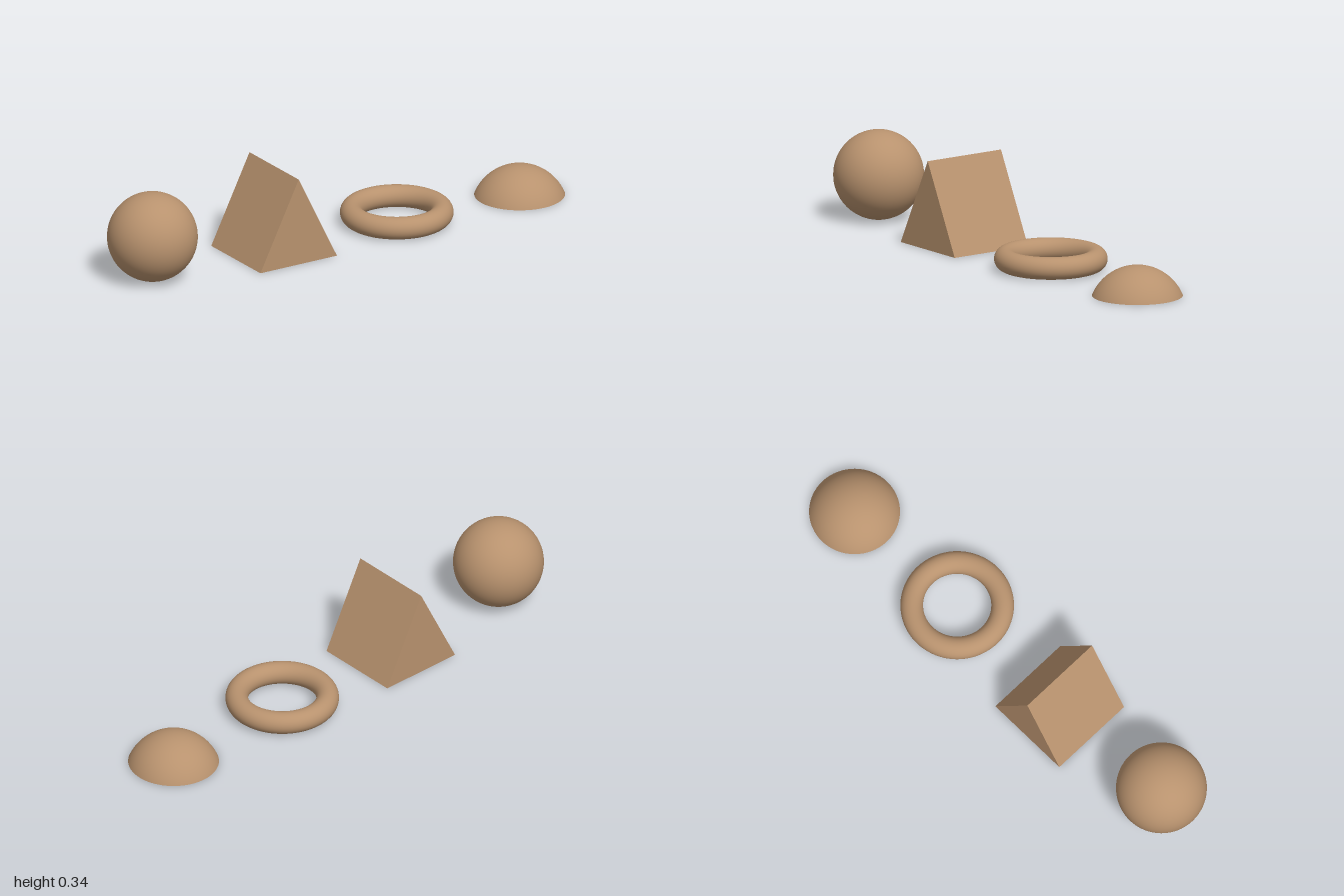
import * as THREE from 'three';

const R = 0.1724; // shared radius of the solids

export function createModel() {
  const group = new THREE.Group();
  const tan = new THREE.MeshStandardMaterial({ color: 0xb8926e });
  tan.name = 'tan';

  const add = (name, geometry, x, y = 0, parent = group) => {
    const mesh = new THREE.Mesh(geometry, tan);
    mesh.name = name;
    mesh.position.set(x, y, 0);
    parent.add(mesh);
    return mesh;
  };

  // Ball
  add('sphere', new THREE.SphereGeometry(R, 64, 40), -1 + R, R);

  // Triangular prism, extruded along z
  const triangle = new THREE.Shape([
    new THREE.Vector2(-R, 0),
    new THREE.Vector2(R, 0),
    new THREE.Vector2(0, 2 * R),
  ]);
  const prism = new THREE.ExtrudeGeometry(triangle, { depth: 2 * R, bevelEnabled: false });
  prism.translate(0, 0, -R);
  add('prism', prism, -0.279);

  // Ring lying flat
  const tube = R / 4;
  const ring = new THREE.TorusGeometry(R, tube, 32, 80);
  ring.rotateX(Math.PI / 2);
  add('ring', ring, 0.274, tube);

  // Dome: a spherical cap closed by a flat disc underneath
  const height = 0.115;
  const capRadius = (R * R + height * height) / (2 * height);
  const capAngle = Math.asin(R / capRadius);
  const dome = new THREE.Group();
  dome.name = 'dome';
  dome.position.x = 1 - R;
  group.add(dome);
  const cap = new THREE.SphereGeometry(capRadius, 64, 24, 0, Math.PI * 2, 0, capAngle);
  add('domeCap', cap, 0, height - capRadius, dome);
  const base = new THREE.CircleGeometry(R, 64);
  base.rotateX(Math.PI / 2);
  add('domeBase', base, 0, 0, dome);

  return group;
}
